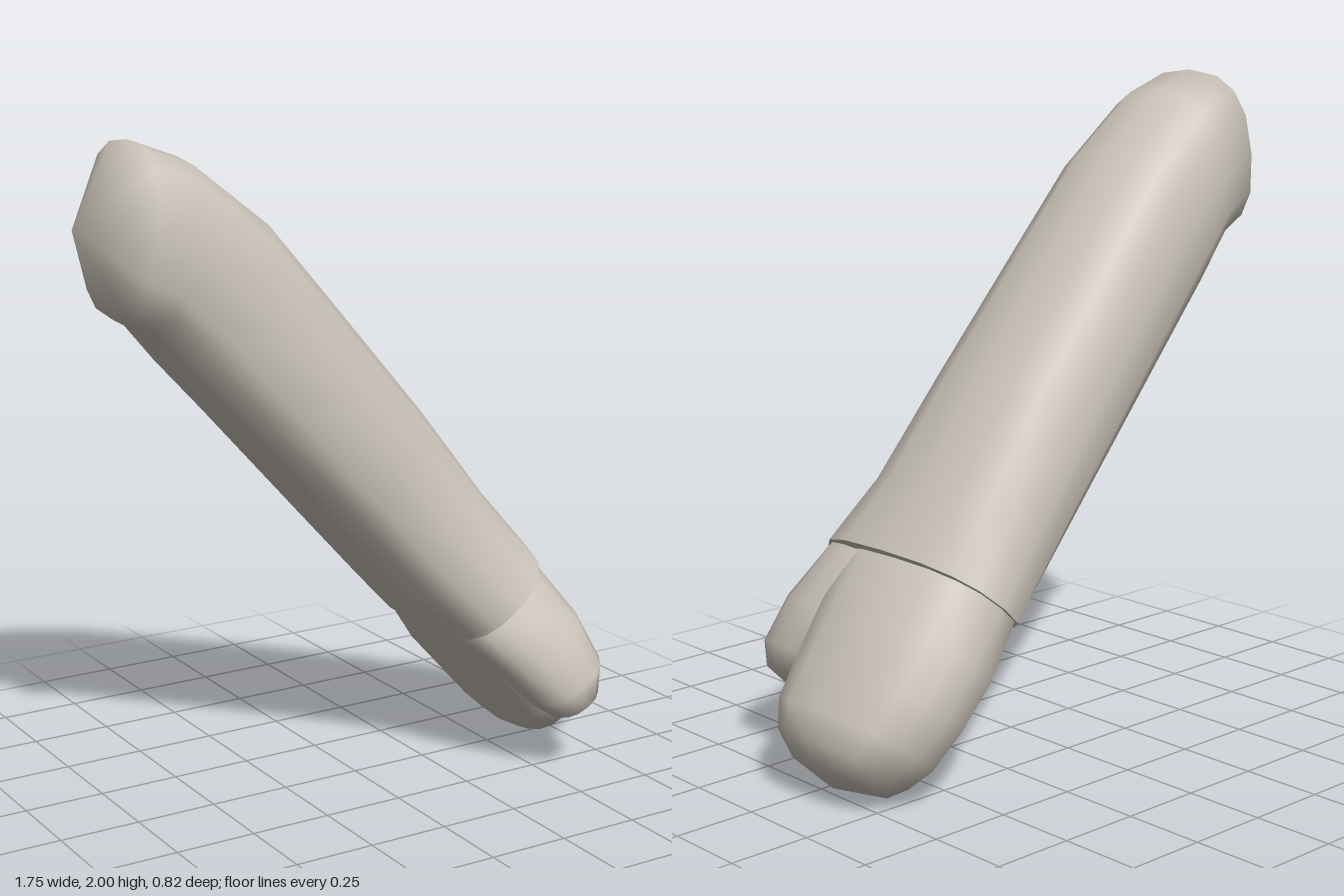
import * as THREE from 'three';

const SIDES = 16;

// Rounded-square ring between an upper and a lower point in the xy plane.
// Row: [upperX, upperY, lowerX, lowerY, zMin, zMax]
function ring([ux, uy, lx, ly, z0, z1], power) {
  const points = [];
  const soft = (v) => Math.sign(v) * Math.pow(Math.abs(v), 2 / power);
  for (let j = 0; j < SIDES; j++) {
    const a = (j / SIDES) * Math.PI * 2;
    const c = soft(Math.cos(a)) / 2, s = soft(Math.sin(a)) / 2;
    points.push(
      (ux + lx) / 2 + (ux - lx) * c,
      (uy + ly) / 2 + (uy - ly) * c,
      (z0 + z1) / 2 + (z1 - z0) * s
    );
  }
  return points;
}

// Skin over the rows; start and end are optional points that close the ends.
function loft(rows, power, start, end) {
  const positions = rows.flatMap((row) => ring(row, power));
  const index = [];
  const last = (rows.length - 1) * SIDES;
  const startId = rows.length * SIDES;
  const endId = startId + (start ? 1 : 0);
  if (start) positions.push(...start);
  if (end) positions.push(...end);
  for (let j = 0; j < SIDES; j++) {
    const k = (j + 1) % SIDES;
    for (let i = 0; i < last; i += SIDES) {
      index.push(i + j, i + k, i + SIDES + j);
      index.push(i + k, i + SIDES + k, i + SIDES + j);
    }
    if (start) index.push(startId, k, j);
    if (end) index.push(endId, last + j, last + k);
  }
  const geometry = new THREE.BufferGeometry();
  geometry.setAttribute('position', new THREE.Float32BufferAttribute(positions, 3));
  geometry.setIndex(index);
  geometry.computeVertexNormals();
  return geometry;
}

export function createModel() {
  const model = new THREE.Group();
  model.name = 'mittenArm';
  const stone = new THREE.MeshStandardMaterial({ color: 0xcdc6bb });
  stone.name = 'warmGrey';

  const add = (name, geometry) => {
    const mesh = new THREE.Mesh(geometry, stone);
    mesh.name = name;
    model.add(mesh);
  };

  // Sleeve from the pointed shoulder down to the flared cuff
  const cuff = [0.56, 0.69, 0.25, 0.43, -0.4, 0.31];
  add('sleeve', loft([
    [-0.7, 2.0, -0.76, 1.5, -0.3, 0.17],
    [-0.55, 1.945, -0.69, 1.46, -0.305, 0.175],
    [-0.31, 1.76, -0.58, 1.33, -0.325, 0.18],
    [-0.13, 1.55, -0.42, 1.16, -0.34, 0.19],
    [0.2, 1.16, -0.1, 0.81, -0.365, 0.21],
    [0.42, 0.87, 0.13, 0.56, -0.385, 0.24],
    cuff
  ], 2.6, [-0.875, 1.76, -0.065]));

  // Flat end of the cuff, kept separate so that its rim is sharp
  add('cuffEnd', loft([cuff], 2.6, null, [0.405, 0.56, -0.045]));

  // Palm and closed fingers
  add('hand', loft([
    [0.53, 0.67, 0.26, 0.44, -0.385, 0.24],
    [0.67, 0.53, 0.36, 0.3, -0.41, 0.21],
    [0.76, 0.4, 0.47, 0.18, -0.405, 0.2],
    [0.84, 0.29, 0.56, 0.075, -0.37, 0.18],
    [0.872, 0.21, 0.61, 0.025, -0.31, 0.13],
    [0.84, 0.12, 0.66, 0.003, -0.25, 0.08]
  ], 2.6, null, [0.765, 0.03, -0.07]));

  // Thumb on the front of the hand
  add('thumb', loft([
    [0.53, 0.66, 0.27, 0.44, 0.0, 0.3],
    [0.64, 0.5, 0.34, 0.36, 0.05, 0.375],
    [0.69, 0.36, 0.46, 0.23, 0.17, 0.407],
    [0.67, 0.27, 0.52, 0.185, 0.21, 0.405]
  ], 2.3, null, [0.58, 0.165, 0.31]));

  return model;
}
